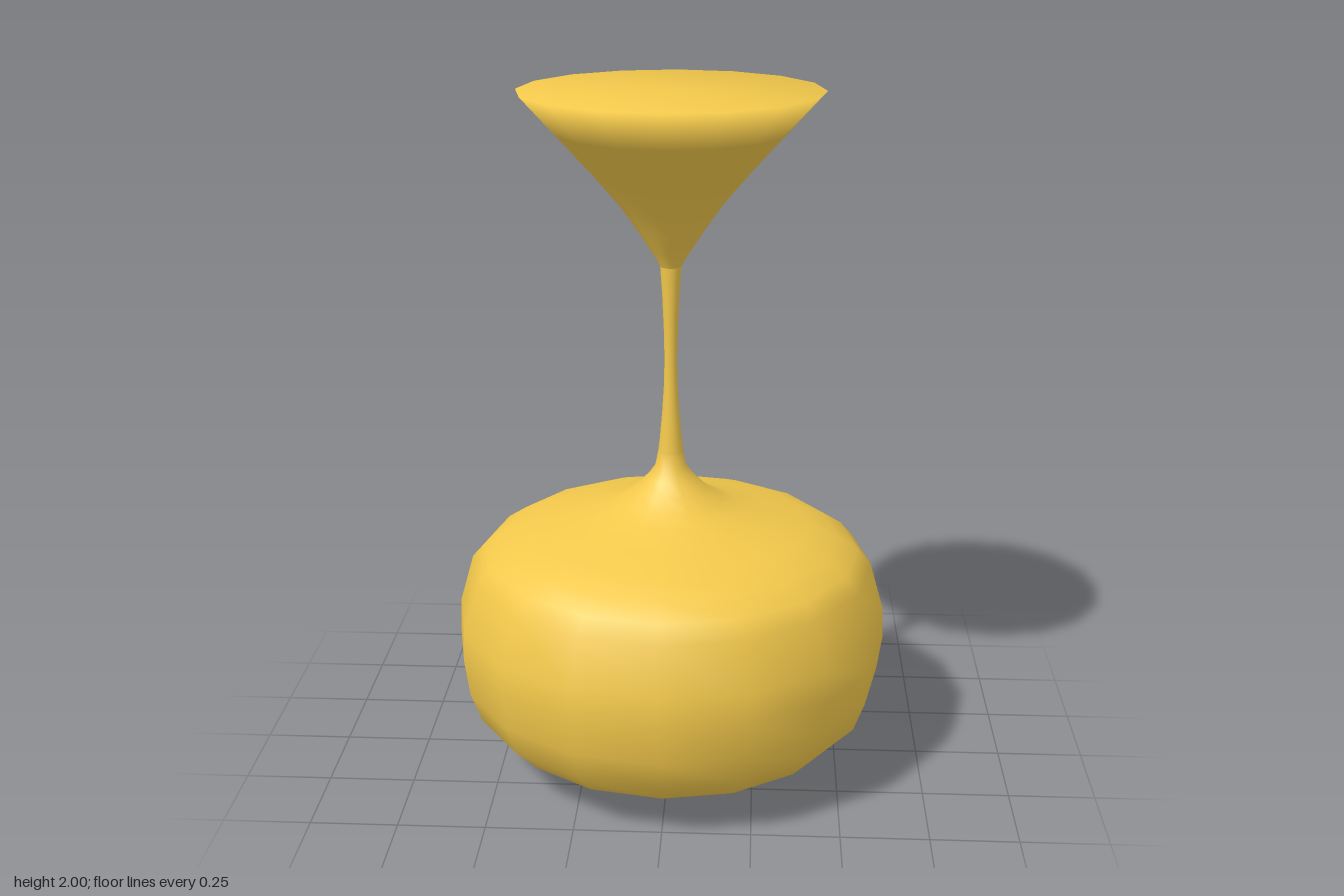
import * as THREE from 'three';

const SIDES = 16;

export function createModel() {
  const group = new THREE.Group();
  const gold = new THREE.MeshStandardMaterial({ color: 0xf2c84b, side: THREE.DoubleSide });

  // Turns a [radius, height] profile, listed from bottom to top
  const turn = (name, profile) => {
    const points = profile.map(([r, y]) => new THREE.Vector2(r, y));
    const mesh = new THREE.Mesh(new THREE.LatheGeometry(points, SIDES), gold);
    mesh.name = name;
    group.add(mesh);
  };

  // Squat rounded body rising to a pinched neck
  turn('body', [
    [0, 0], [0.15, 0.01], [0.28, 0.022], [0.41, 0.055], [0.52, 0.12],
    [0.587, 0.19], [0.62, 0.28], [0.635, 0.39], [0.63, 0.48], [0.59, 0.62],
    [0.55, 0.665], [0.49, 0.705], [0.41, 0.737], [0.3, 0.765], [0.2, 0.795],
    [0.15, 0.82], [0.106, 0.85], [0.07, 0.885], [0.045, 0.92], [0.037, 0.96],
  ]);

  // Thin waisted stem
  turn('stem', [
    [0.037, 0.96], [0.032, 1.0], [0.025, 1.08], [0.02, 1.16], [0.018, 1.24],
    [0.02, 1.33], [0.024, 1.42], [0.03, 1.51],
  ]);

  // Flared top closed by a flat lid
  turn('flaredTop', [
    [0.03, 1.51], [0.04, 1.53], [0.055, 1.553], [0.095, 1.615], [0.148, 1.69],
    [0.225, 1.78], [0.325, 1.89], [0.425, 2], [0, 2],
  ]);

  return group;
}
